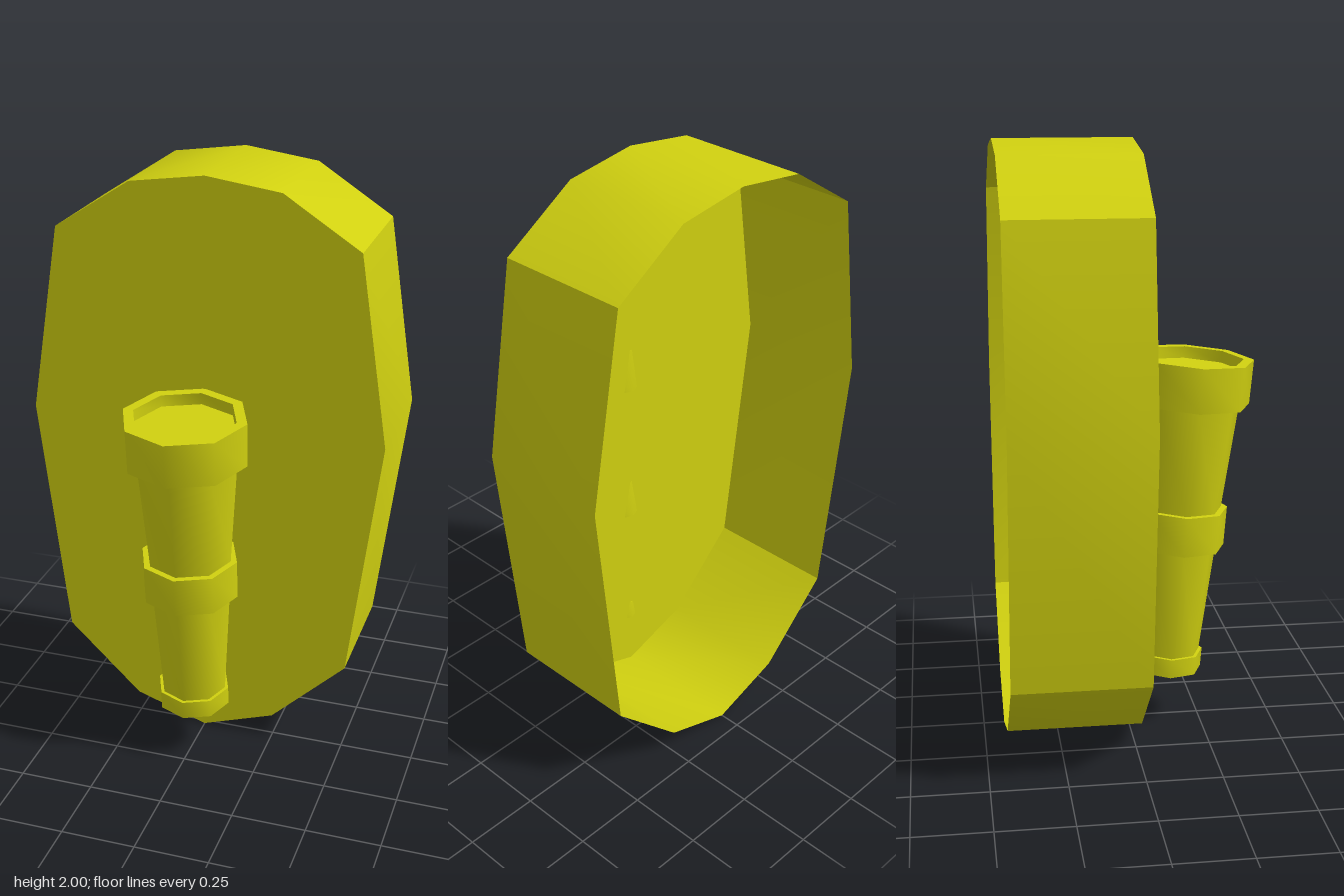
import * as THREE from 'three';
import { toCreasedNormals } from 'three/addons/utils/BufferGeometryUtils.js';

const material = new THREE.MeshStandardMaterial({ color: 0xd0d010, side: THREE.DoubleSide });

function part(name, geometry, crease) {
  const mesh = new THREE.Mesh(toCreasedNormals(geometry, crease), material);
  mesh.name = name;
  return mesh;
}

// Right half of the outline from top to bottom, mirrored to close the loop
const half = [[0, 2], [0.25, 1.965], [0.505, 1.8], [0.605, 1.165], [0.505, 0.33], [0.25, 0.085], [0, 0]];
const outline = [...half, ...half.slice(1, -1).reverse().map(([x, y]) => [-x, y])]
  .reverse().map(([x, y]) => new THREE.Vector2(x, y));

// Wall that runs back from the outline, open at the rear
function wallGeometry(front, back) {
  const n = outline.length, positions = [], index = [];
  outline.forEach((p, i) => {
    positions.push(p.x, p.y, front, p.x, p.y, back);
    const a = 2 * i, b = 2 * ((i + 1) % n);
    index.push(a, a + 1, b, b, a + 1, b + 1);
  });
  const geometry = new THREE.BufferGeometry();
  geometry.setAttribute('position', new THREE.Float32BufferAttribute(positions, 3));
  geometry.setIndex(index);
  geometry.computeVertexNormals();
  return geometry;
}

// Eight-sided turned piece; profile is [radius, height] from bottom to top
function turned(name, profile) {
  const points = profile.map(([r, y]) => new THREE.Vector2(r, y));
  return part(name, new THREE.LatheGeometry(points, 8), 0.9);
}

export function createModel() {
  const model = new THREE.Group();
  model.name = 'wallTorch';

  // Hollow backplate
  const plate = new THREE.Group();
  plate.name = 'backplate';
  const face = new THREE.ShapeGeometry(new THREE.Shape(outline));
  face.translate(0, 0, 0.02);
  plate.add(part('plateFace', face, 0.67), part('plateWall', wallGeometry(0.02, -0.43), 0.67));
  model.add(plate);

  // Torch handle leaning forward
  const torch = new THREE.Group();
  torch.name = 'torch';
  torch.position.set(0, 0.186, 0.136);
  torch.rotation.x = THREE.MathUtils.degToRad(4.6);
  torch.add(
    turned('bottomCap', [[0, 0], [0.125, 0], [0.125, 0.065], [0, 0.065]]),
    turned('lowerShaft', [[0.113, 0.06], [0.138, 0.455]]),
    turned('middleRing', [[0, 0.45], [0.165, 0.45], [0.165, 0.585], [0, 0.585]]),
    turned('upperShaft', [[0.143, 0.58], [0.172, 0.955]]),
    turned('topCup', [[0, 0.95], [0.205, 0.95], [0.207, 1.1], [0.172, 1.1], [0.172, 1.06], [0, 1.06]])
  );
  model.add(torch);
  return model;
}
